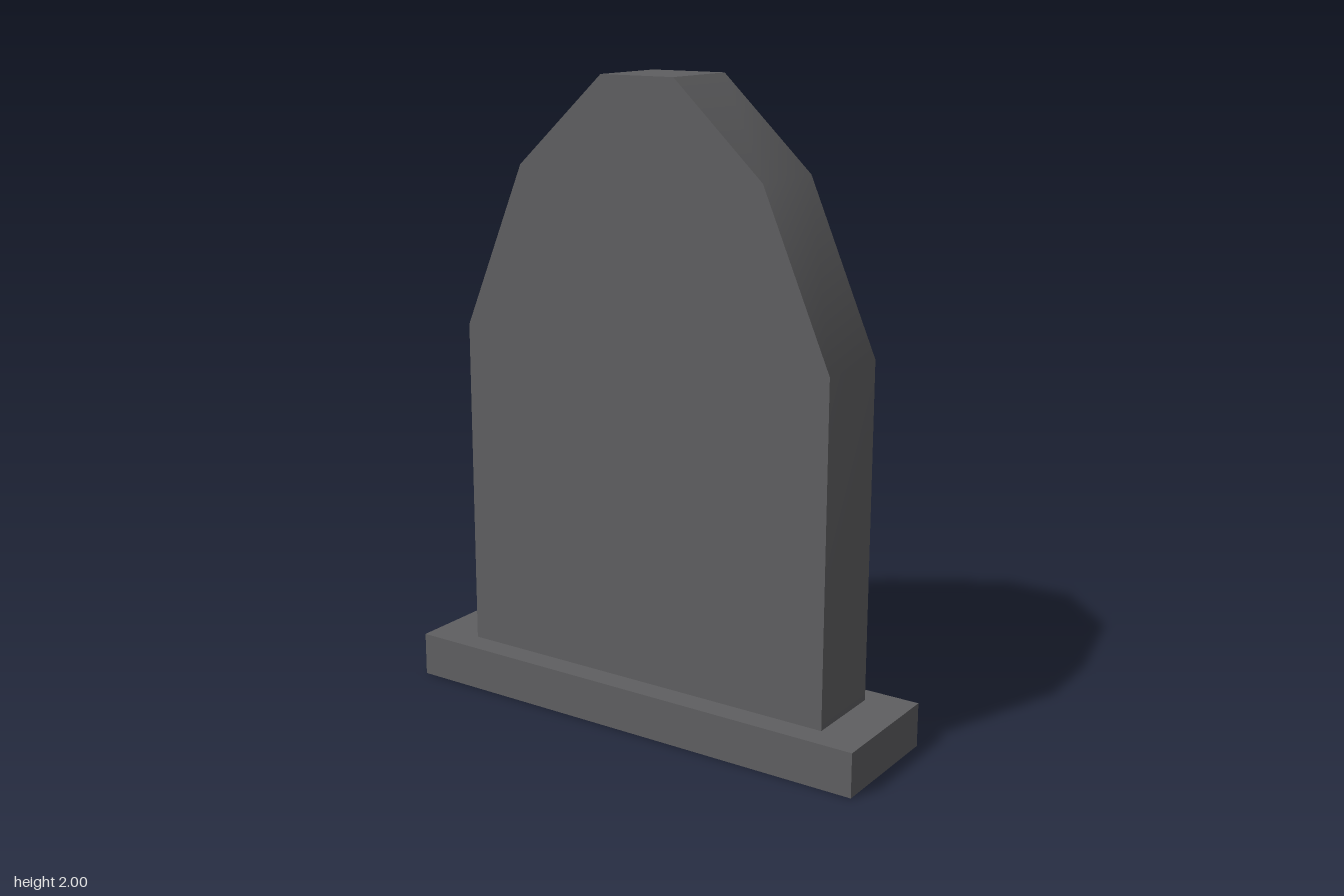
import * as THREE from 'three';
import { toCreasedNormals } from 'three/addons/utils/BufferGeometryUtils.js';

const BASE_X = 0.805, BASE_Z = 0.21, BASE_H = 0.14;
const FRONT_Z = 0.13, BACK_Z = -0.14;

// slab outline, from the lower right over the top to the lower left
const OUTLINE = [
  [0.66, BASE_H], [0.66, 1.2], [0.435, 1.72], [0.135, 2],
  [-0.12, 2], [-0.425, 1.72], [-0.645, 1.2], [-0.645, BASE_H],
];

// band of quads between two matching rows of points
function band(rowA, rowB) {
  const pos = [];
  for (let i = 0; i < rowA.length - 1; i++) {
    pos.push(...rowA[i], ...rowB[i], ...rowB[i + 1]);
    pos.push(...rowA[i], ...rowB[i + 1], ...rowA[i + 1]);
  }
  const g = new THREE.BufferGeometry();
  g.setAttribute('position', new THREE.Float32BufferAttribute(pos, 3));
  g.computeVertexNormals();
  return toCreasedNormals(g, THREE.MathUtils.degToRad(32));
}

const shapeOf = (pts) => new THREE.Shape(pts.map(([x, y]) => new THREE.Vector2(x, y)));

export function createModel() {
  const stone = new THREE.MeshStandardMaterial({ color: 0x5f5f61, side: THREE.DoubleSide });
  stone.name = 'darkStone';

  const model = new THREE.Group();
  model.name = 'headstone';
  const add = (parent, name, geometry) => {
    const mesh = new THREE.Mesh(geometry, stone);
    mesh.name = name;
    parent.add(mesh);
  };

  // hollow slab: front, back and the edge running over the top
  const slab = new THREE.Group();
  slab.name = 'slab';
  model.add(slab);
  add(slab, 'slabFront', new THREE.ShapeGeometry(shapeOf(OUTLINE)).translate(0, 0, FRONT_Z));
  const mirrored = OUTLINE.map(([x, y]) => [-x, y]);
  add(slab, 'slabBack', new THREE.ShapeGeometry(shapeOf(mirrored)).rotateY(Math.PI).translate(0, 0, BACK_Z));
  add(slab, 'slabEdge', band(
    OUTLINE.map(([x, y]) => [x, y, FRONT_Z]),
    OUTLINE.map(([x, y]) => [x, y, BACK_Z]),
  ));

  // plinth: four walls, open below, with a top that is open under the slab
  const plinth = new THREE.Group();
  plinth.name = 'plinth';
  model.add(plinth);
  const corners = [[1, 1], [-1, 1], [-1, -1], [1, -1], [1, 1]];
  const loop = (y) => corners.map(([sx, sz]) => [sx * BASE_X, y, sz * BASE_Z]);
  add(plinth, 'plinthWalls', band(loop(0), loop(BASE_H)));

  const top = shapeOf(corners.slice(0, 4).map(([sx, sz]) => [sx * BASE_X, sz * BASE_Z]));
  top.holes.push(shapeOf([
    [-0.645, -FRONT_Z], [-0.645, -BACK_Z], [0.66, -BACK_Z], [0.66, -FRONT_Z],
  ]));
  add(plinth, 'plinthTop', new THREE.ShapeGeometry(top).rotateX(-Math.PI / 2).translate(0, BASE_H, 0));

  return model;
}
